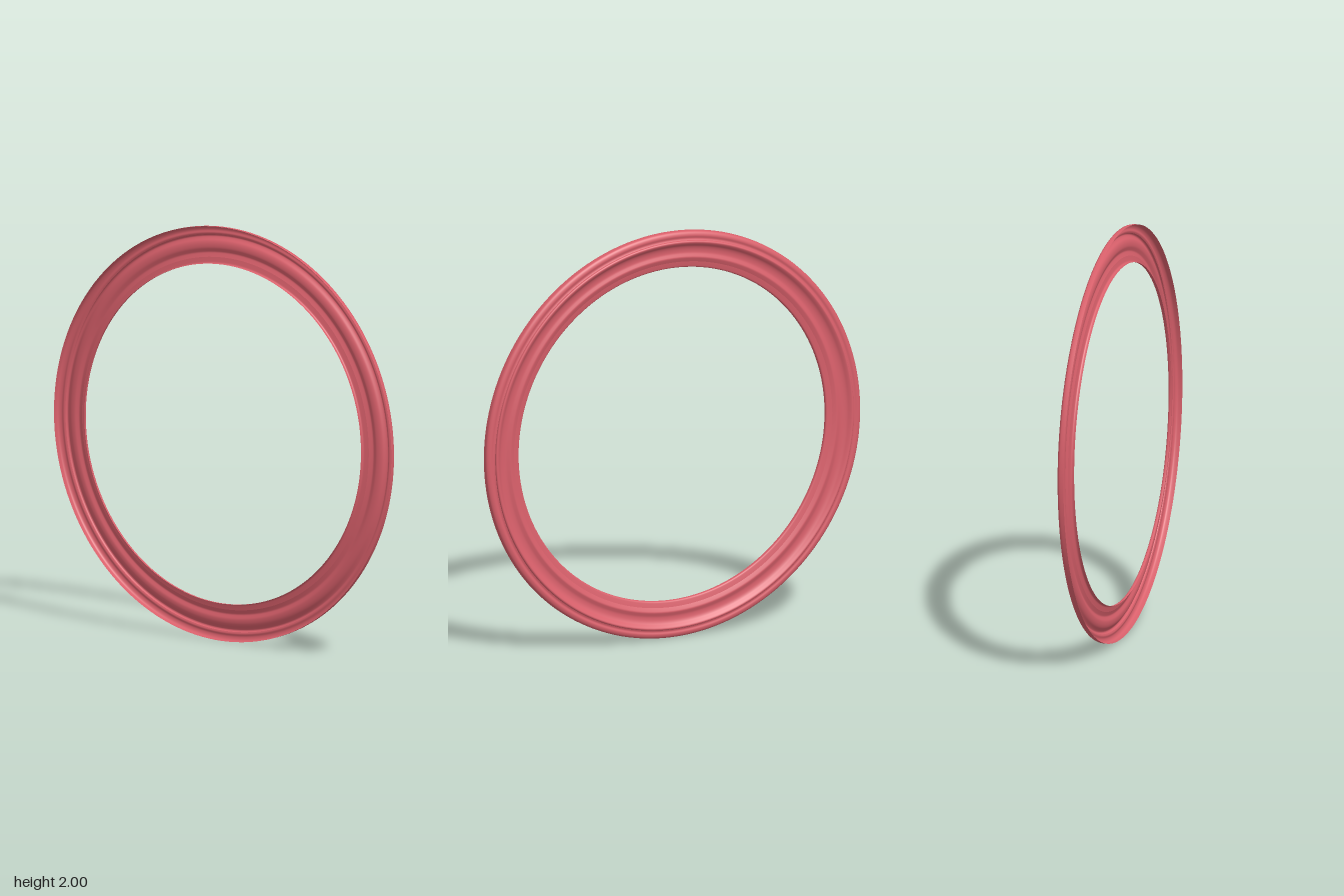
import * as THREE from 'three';

// Moulding sections as [radius, height along the ring axis], ordered from the inner lip outward
const innerLip = [[0.82, -0.022], [0.82, -0.012], [0.824, -0.006], [0.835, -0.003], [0.85, 0]];
const beadAndCove = [[0.85, 0], [0.862, 0.005], [0.872, 0.008], [0.882, 0.005], [0.895, 0.001],
  [0.912, 0.002], [0.926, 0.007], [0.936, 0.015], [0.943, 0.02], [0.949, 0.022], [0.955, 0.019], [0.957, 0.012]];
const outerRim = [[0.957, 0.012], [0.966, 0.009], [0.978, 0.012], [0.99, 0.009], [0.998, 0.002], [1, -0.008], [1, -0.022]];

const material = new THREE.MeshStandardMaterial({ color: 0xd9606b, side: THREE.DoubleSide });

// Revolve one smooth section about the x axis
function ringPart(name, section) {
  const curve = new THREE.SplineCurve(section.map(([r, h]) => new THREE.Vector2(r, h)));
  // Reversed so the outward normals face +x
  const geometry = new THREE.LatheGeometry(curve.getPoints(section.length * 3).reverse(), 160);
  geometry.rotateZ(-Math.PI / 2);
  const mesh = new THREE.Mesh(geometry, material);
  mesh.name = name;
  mesh.position.y = 1;
  return mesh;
}

export function createModel() {
  const group = new THREE.Group();
  group.name = 'trimRing';
  // Thin pressed shell, open at the back
  group.add(
    ringPart('innerLip', innerLip),
    ringPart('beadAndCove', beadAndCove),
    ringPart('outerRim', outerRim)
  );
  return group;
}
